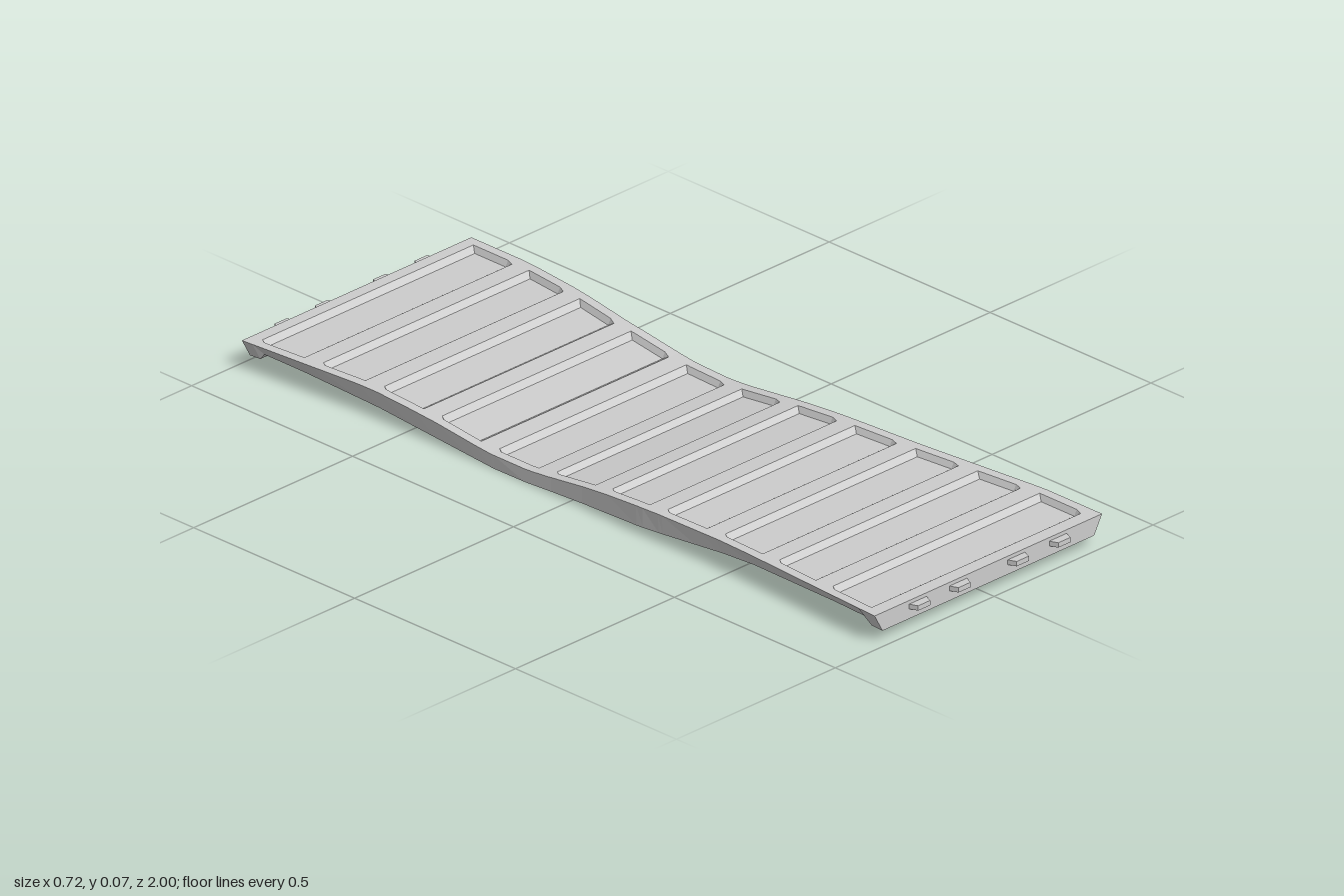
import * as THREE from 'three';

// Piecewise-linear lookup through [z, value] points
function lerpAt(points, z) {
  for (let i = 1; i < points.length; i++) {
    const [z0, v0] = points[i - 1], [z1, v1] = points[i];
    if (z <= z1) return v0 + (v1 - v0) * Math.max(0, (z - z0) / (z1 - z0));
  }
  return points[points.length - 1][1];
}

// Deck height, underside height and outline of the two sides along z
const TOP = [[-0.65, 0.072], [-0.55, 0.068], [-0.4, 0.055], [-0.26, 0.037], [-0.17, 0.033],
  [-0.09, 0.037], [0.05, 0.054], [0.16, 0.066], [0.27, 0.072]];
const BOTTOM = [[-0.98, 0.027], [-0.95, 0.027], [-0.938, 0.042], [-0.5, 0.017], [-0.2, 0],
  [-0.1, 0.004], [0.25, 0.022], [0.55, 0.041], [0.925, 0.042], [0.945, 0.027], [0.98, 0.027]];
const LEFT = [[-0.8, 0.36], [-0.45, 0.322], [0.0, 0.312], [0.27, 0.312], [0.45, 0.325], [0.8, 0.36]];
const RIGHT = [[-0.98, 0.362], [-0.6, 0.332], [0, 0.322], [0.25, 0.332], [0.5, 0.328], [0.8, 0.346], [0.98, 0.356]];

const PANELS = 11, PITCH = 0.176, FIRST = -0.95;
const RIM = 0.024, WALL = 0.008, DEPTH = 0.014;

// One cross-section loop, counter-clockwise seen from the front
function section(z, depth) {
  const top = lerpAt(TOP, z), bottom = lerpAt(BOTTOM, z);
  const l = lerpAt(LEFT, z), r = -lerpAt(RIGHT, z);
  const taper = THREE.MathUtils.clamp((Math.abs(z) - 0.2) * 0.04, 0, 0.025);
  return [
    [r + taper, bottom], [l - taper, bottom], [l, top], [l - RIM, top],
    [l - RIM - WALL, top - depth], [r + RIM + WALL, top - depth], [r + RIM, top], [r, top],
  ].map(([x, y]) => [x, y, z]);
}

// Sagging deck with a row of shallow recessed panels
function deckGeometry() {
  const rings = [section(-0.98, 0)];
  for (let i = 0; i < PANELS; i++) {
    const start = FIRST + i * PITCH, end = i === PANELS - 1 ? 0.945 : start + 0.128;
    rings.push(section(start, 0), section(start + 0.012, DEPTH),
      section(end - 0.02, DEPTH), section(end, 0));
  }
  rings.push(section(0.98, 0));

  const n = rings[0].length, last = (rings.length - 1) * n, index = [];
  for (let i = 0; i < rings.length - 1; i++) {
    for (let k = 0; k < n; k++) {
      const a = i * n + k, b = i * n + (k + 1) % n;
      index.push(a, b, b + n, a, b + n, a + n);
    }
  }
  for (let k = 1; k < n - 1; k++) {
    index.push(0, k + 1, k, last, last + k, last + k + 1);
  }
  const geometry = new THREE.BufferGeometry();
  geometry.setAttribute('position', new THREE.Float32BufferAttribute(rings.flat(2), 3));
  geometry.setIndex(index);
  const flat = geometry.toNonIndexed();
  flat.computeVertexNormals();
  return flat;
}

// Small tapered lug, pointing along +z from the end face
function lugGeometry() {
  const shape = new THREE.Shape([[-0.028, 0.002], [0.028, 0.002], [0.019, -0.02], [-0.019, -0.02]]
    .map(([x, y]) => new THREE.Vector2(x, y)));
  const geometry = new THREE.ExtrudeGeometry(shape, { depth: 0.012, bevelEnabled: false });
  return geometry.rotateX(-Math.PI / 2);
}

export function createModel() {
  const model = new THREE.Group();
  model.name = 'sagging deck';
  const material = new THREE.MeshStandardMaterial({ color: 0xcccccc, flatShading: true });

  const deck = new THREE.Mesh(deckGeometry(), material);
  deck.name = 'deck';
  model.add(deck);

  // Four connecting lugs on each end
  const lug = lugGeometry();
  for (const end of [1, -1]) {
    const lugs = new THREE.Group();
    lugs.name = end > 0 ? 'frontLugs' : 'backLugs';
    for (const x of [-0.22, -0.093, 0.09, 0.221]) {
      const mesh = new THREE.Mesh(lug, material);
      mesh.name = 'lug';
      mesh.position.set(x, 0.051, end * 0.98);
      if (end < 0) mesh.rotation.y = Math.PI;
      lugs.add(mesh);
    }
    model.add(lugs);
  }
  return model;
}
